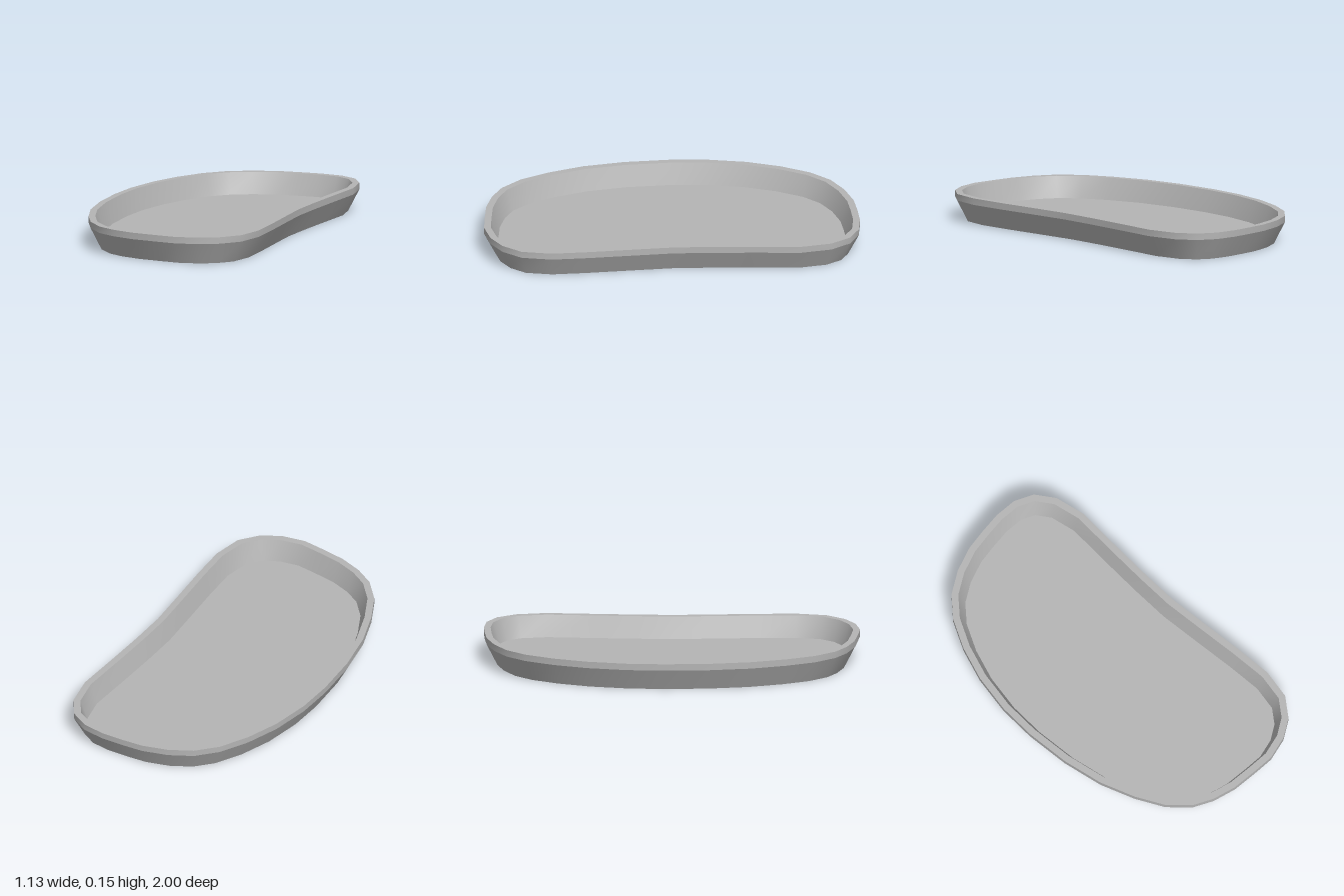
import * as THREE from 'three';

// Rim outline of the kidney-shaped dish as [x, z], starting at the back and turning towards +x
const OUTLINE = [
  [0.2, -1], [0.32, -0.99], [0.42, -0.94], [0.49, -0.84], [0.525, -0.68], [0.515, -0.4], [0.51, -0.2], [0.51, 0],
  [0.53, 0.22], [0.552, 0.45], [0.565, 0.65], [0.537, 0.81], [0.46, 0.91], [0.36, 0.97], [0.235, 1], [0.12, 0.993],
  [-0.02, 0.98], [-0.145, 0.945], [-0.25, 0.89], [-0.35, 0.785], [-0.43, 0.635], [-0.5, 0.45], [-0.545, 0.23], [-0.565, -0.01],
  [-0.56, -0.21], [-0.525, -0.42], [-0.465, -0.6], [-0.385, -0.755], [-0.29, -0.86], [-0.17, -0.93], [-0.035, -0.975], [0.08, -0.99],
].map(([x, z]) => new THREE.Vector2(x, z));
const N = OUTLINE.length;

// Outline moved inwards by a fixed distance, with mitred corners
function inset(distance) {
  return OUTLINE.map((p, i) => {
    const before = p.clone().sub(OUTLINE[(i + N - 1) % N]).normalize();
    const after = OUTLINE[(i + 1) % N].clone().sub(p).normalize();
    const t = before.clone().add(after).normalize();
    const d = distance / t.dot(after);
    return new THREE.Vector2(p.x - t.y * d, p.y + t.x * d);
  });
}

// Smooth closed band between two [inset, height] rings
function band([insetA, yA], [insetB, yB]) {
  const a = inset(insetA), b = inset(insetB);
  const positions = [], index = [];
  for (let i = 0; i < N; i++) {
    positions.push(a[i].x, yA, a[i].y, b[i].x, yB, b[i].y);
    const j = (i + 1) % N;
    index.push(2 * i, 2 * i + 1, 2 * j, 2 * j, 2 * i + 1, 2 * j + 1);
  }
  const geometry = new THREE.BufferGeometry();
  geometry.setAttribute('position', new THREE.Float32BufferAttribute(positions, 3));
  geometry.setIndex(index);
  geometry.computeVertexNormals();
  return geometry;
}

// Flat face filling one ring, turned up or down
function face([distance, y], up) {
  const points = inset(distance).map((p) => new THREE.Vector2(p.x, up ? -p.y : p.y));
  const geometry = new THREE.ShapeGeometry(new THREE.Shape(points));
  geometry.rotateX(up ? -Math.PI / 2 : Math.PI / 2);
  return geometry.translate(0, y, 0);
}

export function createModel() {
  const group = new THREE.Group();
  group.name = 'kidneyDish';
  const metal = new THREE.MeshStandardMaterial({ color: 0xb4b4b4 });
  metal.name = 'greyMetal';

  // Cross-section rings from the foot, over the rim, down to the inner floor
  const foot = [0.058, 0], shoulder = [0, 0.115], rimOuter = [0, 0.15];
  const rimInner = [0.036, 0.15], floor = [0.073, 0.036];

  const parts = {
    underside: face(foot, false),
    outerWall: band(foot, shoulder),
    rimEdge: band(shoulder, rimOuter),
    rimTop: band(rimOuter, rimInner),
    innerWall: band(rimInner, floor),
    innerFloor: face(floor, true),
  };
  for (const [name, geometry] of Object.entries(parts)) {
    const mesh = new THREE.Mesh(geometry, metal);
    mesh.name = name;
    group.add(mesh);
  }
  return group;
}
